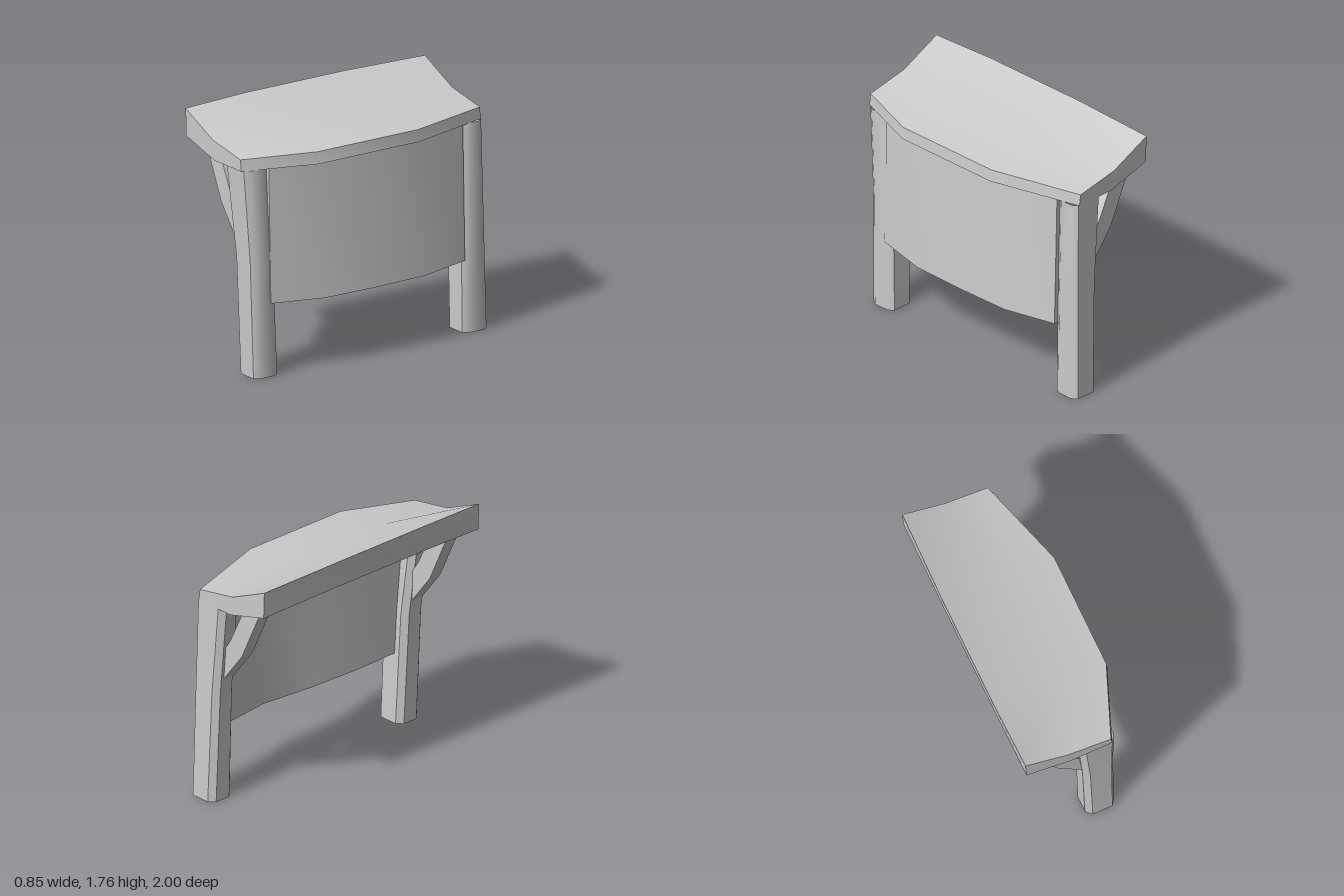
import * as THREE from 'three';
import { toCreasedNormals } from 'three/addons/utils/BufferGeometryUtils.js';

const material = new THREE.MeshStandardMaterial({ color: 0xcccccc, side: THREE.DoubleSide });

// Skin a row of equal-length loops of [x, y, z] points; optionally cap both ends.
function loft(name, loops, capped) {
  const n = loops[0].length;
  const index = [];
  const quad = (a, b, c, d) => index.push(a, b, c, a, c, d);
  for (let i = 0; i < loops.length - 1; i++) {
    for (let j = 0; j < n; j++) {
      const k = (j + 1) % n;
      quad(i * n + j, i * n + k, (i + 1) * n + k, (i + 1) * n + j);
    }
  }
  if (capped) {
    const e = (loops.length - 1) * n;
    for (let k = 0; k < n / 2 - 1; k++) {
      quad(n - 1 - k, n - 2 - k, k + 1, k);
      quad(e + k, e + k + 1, e + n - 2 - k, e + n - 1 - k);
    }
  }
  const geometry = new THREE.BufferGeometry();
  geometry.setAttribute('position', new THREE.Float32BufferAttribute(loops.flat(2), 3));
  geometry.setIndex(index);
  const mesh = new THREE.Mesh(toCreasedNormals(geometry, 0.75), material);
  mesh.name = name;
  return mesh;
}

// Post: hollow chamfered section following a path of [y, xMin, xMax, zMin, zMax].
function post(name, path) {
  const c0 = 0.04, c1 = 0.028, cz = 0.04;
  return loft(name, path.map(([y, x0, x1, z0, z1]) => [
    [x0, y, z1 - cz], [x0 + c0, y, z1], [x1 - c1, y, z1], [x1, y, z1 - cz],
    [x1, y, z0 + cz], [x1 - c1, y, z0], [x0 + c0, y, z0], [x0, y, z0 + cz],
  ]), false);
}

// Bent diagonal brace under the overhang
function brace(name, z) {
  const shape = new THREE.Shape([
    [0.09, 0.87], [0.09, 1.08], [0.02, 1.18], [-0.02, 1.24],
    [-0.15, 1.51], [-0.315, 1.55], [-0.13, 1.155],
  ].map(([x, y]) => new THREE.Vector2(x, y)));
  const geometry = new THREE.ExtrudeGeometry(shape, { depth: 0.1, bevelEnabled: false });
  const mesh = new THREE.Mesh(geometry, material);
  mesh.position.z = z - 0.05;
  mesh.name = name;
  return mesh;
}

export function createModel() {
  const group = new THREE.Group();

  // Top slab: bent profile, angled corners along the +x edge
  const slabEnd = [[-0.405, 1.56], [-0.08, 1.47], [0.23, 1.472], [0.22, 1.553], [-0.1, 1.61], [-0.412, 1.752]];
  const slabMid = [[-0.41, 1.57], [-0.03, 1.478], [0.422, 1.482], [0.415, 1.568], [0, 1.62], [-0.425, 1.764]];
  const slab = [[-0.978, slabEnd], [-0.33, slabMid], [0.5, slabMid], [1, slabEnd]];
  group.add(loft('topSlab', slab.map(([z, p]) => p.map(([x, y]) => [x, y, z])), true));

  // Curved panel between the posts: z, bottom y, outer x at bottom and top, inner x at bottom and top
  const panel = [
    [-0.803, 0.52, 0.292, 0.268, 0.14, 0.115],
    [-0.41, 0.508, 0.373, 0.334, 0.205, 0.175],
    [0, 0.505, 0.377, 0.338, 0.17, 0.14],
    [0.41, 0.508, 0.373, 0.334, 0.15, 0.12],
    [0.8, 0.52, 0.292, 0.268, 0.145, 0.12],
  ];
  group.add(loft('curvedPanel', panel.map(([z, y, ob, ot, ib, it]) => [
    [ib, y, z], [ob, y, z], [ot, 1.48, z], [it, 1.48, z],
  ]), true));

  // Posts
  group.add(post('frontPost', [
    [0.005, 0.08, 0.293, 0.73, 0.925],
    [0.82, 0.055, 0.28, 0.755, 0.942],
    [1.475, 0.003, 0.265, 0.8, 0.985],
  ]));
  group.add(post('backPost', [
    [0.005, 0.08, 0.293, -1, -0.8],
    [0.82, 0.055, 0.28, -0.985, -0.8],
    [1.475, 0.003, 0.265, -0.975, -0.8],
  ]));

  // Braces
  group.add(brace('frontBrace', 0.86), brace('backBrace', -0.87));
  return group;
}
